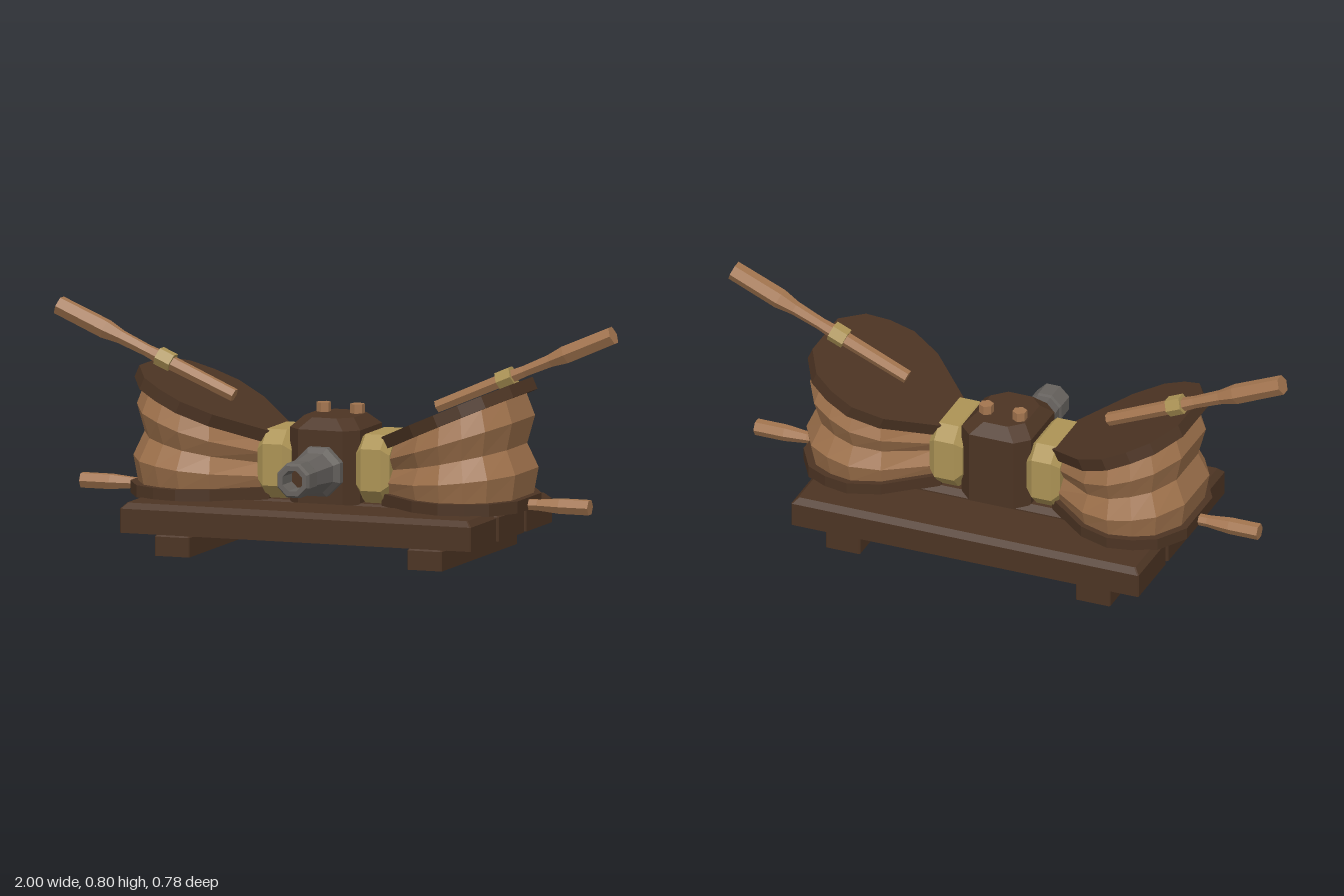
import * as THREE from 'three';

const mat = (name, color) => {
  const m = new THREE.MeshStandardMaterial({ color, flatShading: true });
  m.name = name;
  return m;
};

// Closed skin through matching rings of [x, y, z] points, capped at both ends
function loft(rings) {
  const tris = [];
  const n = rings[0].length;
  for (let i = 0; i < rings.length - 1; i++) {
    for (let j = 0; j < n; j++) {
      const k = (j + 1) % n;
      const a = rings[i][j], b = rings[i][k], c = rings[i + 1][k], d = rings[i + 1][j];
      tris.push([a, b, c], [a, c, d]);
    }
  }
  const first = rings[0], last = rings[rings.length - 1];
  for (let j = 1; j < n - 1; j++) {
    tris.push([first[0], first[j + 1], first[j]], [last[0], last[j], last[j + 1]]);
  }
  // Turn the skin outward if its volume comes out negative
  const v = p => new THREE.Vector3(...p);
  const o = v(first[0]);
  let volume = 0;
  for (const [a, b, c] of tris) {
    volume += v(a).sub(o).dot(v(b).sub(o).cross(v(c).sub(o)));
  }
  const flat = tris.flatMap(([a, b, c]) => (volume < 0 ? [a, c, b] : [a, b, c])).flat();
  const g = new THREE.BufferGeometry();
  g.setAttribute('position', new THREE.Float32BufferAttribute(flat, 3));
  g.computeVertexNormals();
  return g;
}

// Rectangle with cut corners, as [u, v] pairs
const cutRect = (w, h, c) => [
  [w, h - c], [w - c, h], [c - w, h], [-w, h - c],
  [-w, c - h], [c - w, -h], [w - c, -h], [w, c - h],
];

// Box with its top edges chamfered
const chamferBox = (w, d, y0, y1, bevel, corner = 0.004) => {
  const ring = (y, inset) => cutRect(w - inset, d - inset, corner).map(([x, z]) => [x, y, z]);
  return loft([ring(y0, 0), ring(y1 - bevel, 0), ring(y1, bevel)]);
};

// Turned piece along +y from [radius, height] pairs
const turned = (profile, sides, start = 0) =>
  new THREE.LatheGeometry(profile.map(p => new THREE.Vector2(...p)), sides, start);

// Teardrop outline shared by the boards and the leather
const HALF = [[0.2, 0.1], [0.35, 0.235], [0.45, 0.272], [0.53, 0.255], [0.6, 0.215], [0.658, 0.11]];
const OUTLINE = [...HALF, ...HALF.map(([x, z]) => [x, -z]).reverse()];
const SLOPE = 0.433;
const TILT = Math.atan(SLOPE);
const CENTRE_Z = -0.013;
const boardTop = x => 0.402 + SLOPE * (x - 0.2);

export function createModel() {
  const model = new THREE.Group();
  const wood = mat('dark wood', 0x4c3423);
  const leather = mat('leather', 0x9f724c);
  const handleWood = mat('handle wood', 0xa3754f);
  const brass = mat('pale binding', 0xac9355);
  const iron = mat('iron', 0x66625e);

  const add = (parent, name, geometry, material, x = 0, y = 0, z = 0) => {
    const m = new THREE.Mesh(geometry, material);
    m.name = name;
    m.position.set(x, y, z);
    parent.add(m);
    return m;
  };

  // Base of three planks on two runners
  for (const z of [0.243, CENTRE_Z, -0.269]) {
    add(model, 'plank', chamferBox(0.625, 0.119, 0.075, 0.175, 0.019), wood, 0, 0, z);
  }
  for (const x of [-0.45, 0.45]) {
    add(model, 'runner', chamferBox(0.062, 0.349, 0, 0.078, 0.013), wood, x, 0, CENTRE_Z);
  }

  // Central air chest with two pegs
  add(model, 'airChest', chamferBox(0.125, 0.145, 0.17, 0.457, 0.037, 0.045), wood, 0, 0, CENTRE_Z);
  for (const x of [-0.06, 0.06]) {
    add(model, 'peg', new THREE.CylinderGeometry(0.025, 0.025, 0.06, 6), handleWood, x, 0.458, -0.055);
  }

  // Hollow nozzle pointing forward
  const nozzle = new THREE.Group();
  nozzle.name = 'nozzle';
  nozzle.position.y = 0.284;
  nozzle.rotation.x = Math.PI / 2;
  model.add(nozzle);
  add(nozzle, 'nozzlePipe', turned([
    [0.088, 0.11], [0.088, 0.16], [0.07, 0.18], [0.058, 0.3], [0.062, 0.31], [0.062, 0.378],
    [0.054, 0.39], [0.037, 0.39], [0.035, 0.3],
  ], 8, Math.PI / 8), iron);
  add(nozzle, 'nozzleBore', new THREE.CylinderGeometry(0.04, 0.04, 0.008, 8), wood, 0, 0.304, 0);

  // Bellows, built on the left and turned round for the right
  for (const side of [0, 1]) {
    const bellows = new THREE.Group();
    bellows.name = side ? 'rightBellows' : 'leftBellows';
    bellows.position.z = CENTRE_Z;
    bellows.rotation.y = side * Math.PI;
    model.add(bellows);

    const stretch = x => 0.2 + (x - 0.2) * 1.07;
    add(bellows, 'lowerBoard', loft([0.172, 0.213].map(y =>
      OUTLINE.map(([x, z]) => [stretch(x), y, z]))), wood);

    const upper = thick => OUTLINE.map(([x, z]) =>
      [x + Math.sin(TILT) * thick, boardTop(x) - Math.cos(TILT) * thick, z]);
    add(bellows, 'upperBoard', loft([upper(0.043), upper(0)]), wood);

    // Leather folds fan out between the boards
    const folds = [0.91, 0.98, 0.86, 0.965, 0.875].map((scale, i) => {
      const t = i / 4;
      return OUTLINE.map(([px, pz]) => {
        const base = THREE.MathUtils.lerp(stretch(px), px + 0.015, t);
        const x = 0.42 + (base - 0.42) * scale;
        return [x, THREE.MathUtils.lerp(0.21, boardTop(x) - 0.045, t), pz * scale];
      });
    });
    add(bellows, 'leatherFolds', loft(folds), leather);

    // Binding between the bellows and the chest
    const cuffRing = (x, inset) => cutRect(0.115 - inset, 0.135 - inset, 0.045)
      .map(([y, z]) => [x, 0.293 + y, z]);
    add(bellows, 'cuff', loft([
      cuffRing(0.115, 0.02), cuffRing(0.14, 0), cuffRing(0.21, 0), cuffRing(0.235, 0.02),
    ]), brass);

    // Upper lever lying along the tilted board
    const lever = new THREE.Group();
    lever.name = 'upperLever';
    lever.position.set(0.362, 0.5, 0);
    lever.rotation.z = TILT - Math.PI / 2;
    bellows.add(lever);
    add(lever, 'leverHandle', turned([
      [0, 0], [0.023, 0], [0.025, 0.27], [0.021, 0.34], [0.024, 0.44],
      [0.034, 0.5], [0.033, 0.682], [0, 0.682],
    ], 6), handleWood);
    add(lever, 'leverCollar', new THREE.CylinderGeometry(0.036, 0.036, 0.055, 6), brass, 0, 0.268, 0);

    // Fixed lower grip
    const grip = add(bellows, 'lowerGrip', turned([
      [0, 0], [0.02, 0], [0.02, 0.12], [0.028, 0.2], [0.028, 0.305], [0, 0.305],
    ], 6), handleWood, 0.6, 0.188, 0);
    grip.rotation.z = -Math.PI / 2;
  }
  return model;
}
